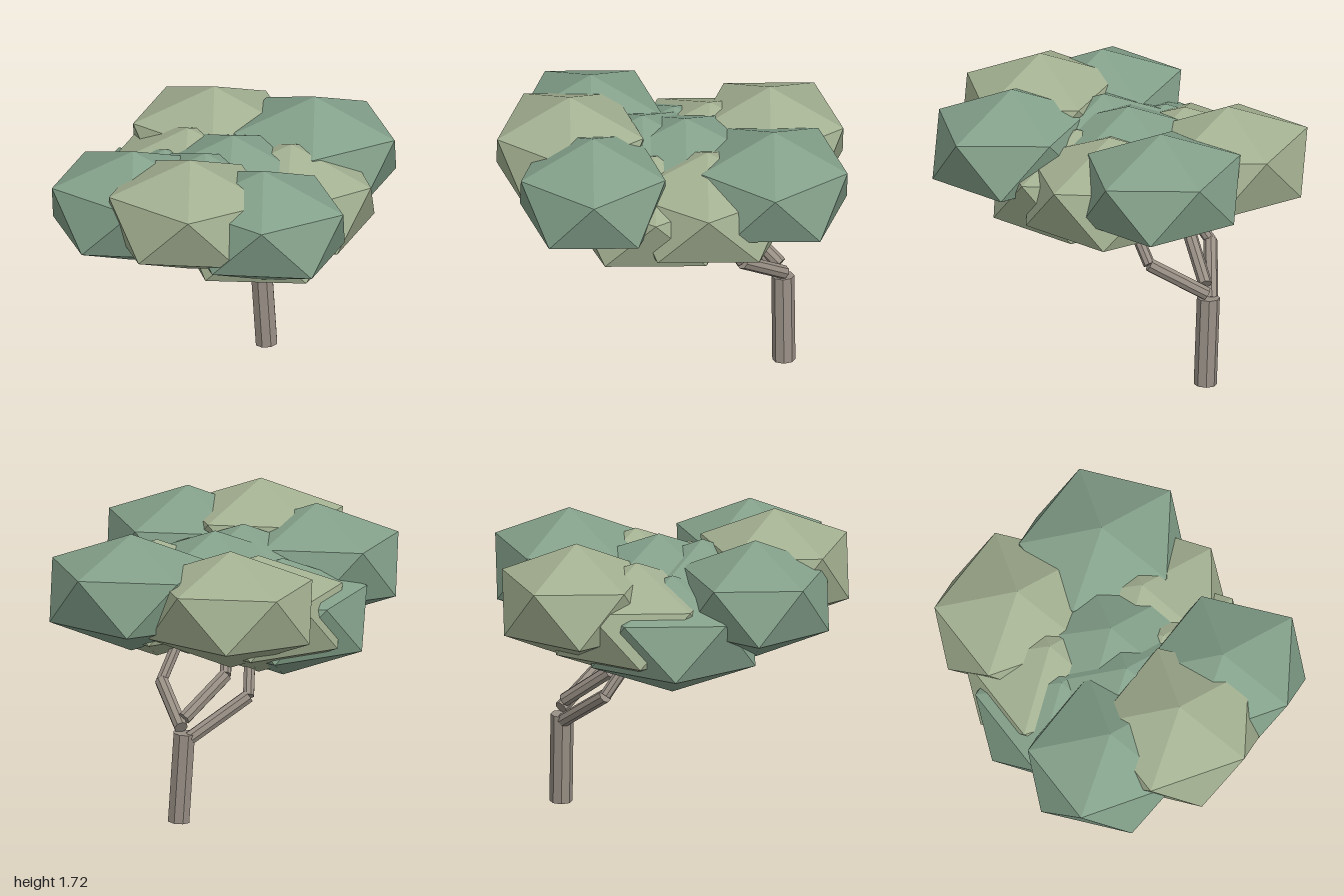
import * as THREE from 'three';

const material = (color) => new THREE.MeshStandardMaterial({ color, flatShading: true });

// Straight eight-sided limb between two points
function limb(name, from, to, radius, mat) {
  const a = new THREE.Vector3(...from);
  const b = new THREE.Vector3(...to);
  const dir = b.clone().sub(a);
  const mesh = new THREE.Mesh(new THREE.CylinderGeometry(radius, radius, dir.length(), 8), mat);
  mesh.position.copy(a).add(b).multiplyScalar(0.5);
  mesh.quaternion.setFromUnitVectors(new THREE.Vector3(0, 1, 0), dir.normalize());
  mesh.name = name;
  return mesh;
}

export function createModel() {
  const tree = new THREE.Group();
  tree.name = 'tree';
  const bark = material(0x988f85);
  const green = material(0x83a08a);
  const olive = material(0xa3b091);

  // Leaning trunk
  tree.add(limb('trunk', [-0.015, 0.005, -0.64], [-0.048, 0.53, -0.635], 0.066, bark));

  // Branches, each with a bend: start, elbow, tip
  const branches = [
    ['rightBranch', [-0.08, 0.5, -0.63], [-0.345, 0.72, -0.4], [-0.27, 1.0, -0.2]],
    ['leftBranch', [-0.03, 0.56, -0.64], [0.195, 0.75, -0.4], [0.15, 1.0, -0.2]],
    ['middleBranch', [-0.04, 0.61, -0.62], [-0.19, 0.82, -0.37], [-0.12, 1.0, -0.2]],
  ];
  for (const [name, start, elbow, tip] of branches) {
    const branch = new THREE.Group();
    branch.name = name;
    branch.add(
      limb('lowerBranch', start, elbow, 0.04, bark),
      limb('upperBranch', elbow, tip, 0.034, bark),
    );
    tree.add(branch);
  }

  // Icosahedron standing on a corner, shared by all leaf clumps
  const clumpShape = new THREE.IcosahedronGeometry(1, 0);
  clumpShape.rotateZ(-Math.atan2(1, (1 + Math.sqrt(5)) / 2));

  // Leaf clumps: material, centre, depth radius
  const clumps = [
    ['frontClump', olive, [0, 1.378, 0.58], 0.49],
    ['frontLeftClump', green, [0.4, 1.324, 0.455], 0.485],
    ['frontRightClump', green, [-0.4, 1.305, 0.455], 0.485],
    ['backLeftClump', green, [0.305, 1.308, -0.58], 0.49],
    ['backRightClump', olive, [-0.305, 1.27, -0.565], 0.49],
    ['leftClump', olive, [0.31, 1.18, -0.2], 0.55],
    ['rightClump', olive, [-0.33, 1.16, -0.22], 0.55],
    ['lowLeftClump', olive, [0.24, 1.12, 0.1], 0.55],
    ['lowRightClump', green, [-0.395, 1.1, -0.02], 0.55],
    ['middleClump', green, [0, 1.235, -0.08], 0.55],
    ['innerClump', green, [-0.07, 1.22, 0.165], 0.5],
  ];
  const canopy = new THREE.Group();
  canopy.name = 'canopy';
  for (const [name, mat, centre, depth] of clumps) {
    const clump = new THREE.Mesh(clumpShape, mat);
    clump.name = name;
    clump.position.set(...centre);
    clump.scale.set(0.548, 0.344, depth);
    canopy.add(clump);
  }
  tree.add(canopy);
  return tree;
}
